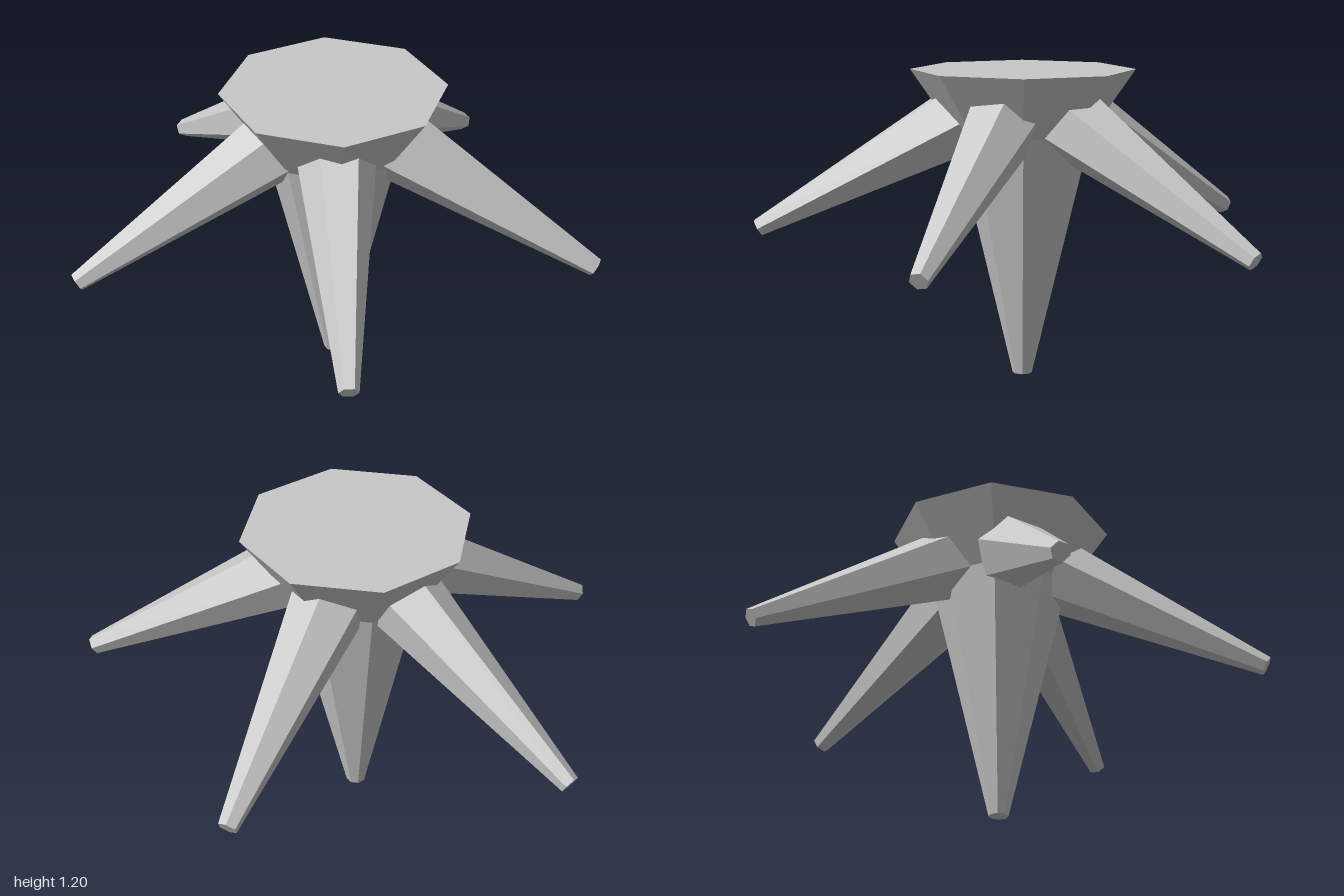
import * as THREE from 'three';

export function createModel() {
  const model = new THREE.Group();
  const stone = new THREE.MeshStandardMaterial({ color: 0xc8c8c8, flatShading: true });
  stone.name = 'light grey stone';

  // Everything radiates from the slightly off-centre core axis
  const core = new THREE.Group();
  core.name = 'spikedBody';
  core.position.set(0.009, 0, -0.086);
  model.add(core);

  // Eight-sided core: narrow foot, long taper, flared flat top
  const profile = [[0, 0], [0.038, 0], [0.264, 0.955], [0.434, 1.2], [0, 1.2]]
    .map(([r, y]) => new THREE.Vector2(r, y));
  const body = new THREE.Mesh(new THREE.LatheGeometry(profile, 8), stone);
  body.name = 'centralSpike';
  core.add(body);

  // Six-sided spike pointing down, tip at the origin, corners on the x axis
  const slope = THREE.MathUtils.degToRad(28.4);
  const startRadius = 0.2, tipRadius = 1.037, tipHeight = 0.575;
  const length = (tipRadius - startRadius) / Math.cos(slope);
  const spike = new THREE.CylinderGeometry(0.151, 0.037, length, 6);
  spike.rotateY(Math.PI / 2);
  spike.translate(0, length / 2, 0);

  // Five spikes swung out from straight down, bases buried in the core
  const down = new THREE.Vector3(0, -1, 0);
  for (let i = 0; i < 5; i++) {
    const angle = THREE.MathUtils.degToRad(20 + 72 * i);
    const outward = new THREE.Vector3(Math.cos(angle), 0, Math.sin(angle));
    const direction = outward.clone().multiplyScalar(Math.cos(slope)).setY(-Math.sin(slope));
    const mesh = new THREE.Mesh(spike, stone);
    mesh.name = `sideSpike${i + 1}`;
    mesh.quaternion.setFromUnitVectors(down, direction);
    mesh.position.copy(outward).multiplyScalar(tipRadius).setY(tipHeight);
    core.add(mesh);
  }
  return model;
}
